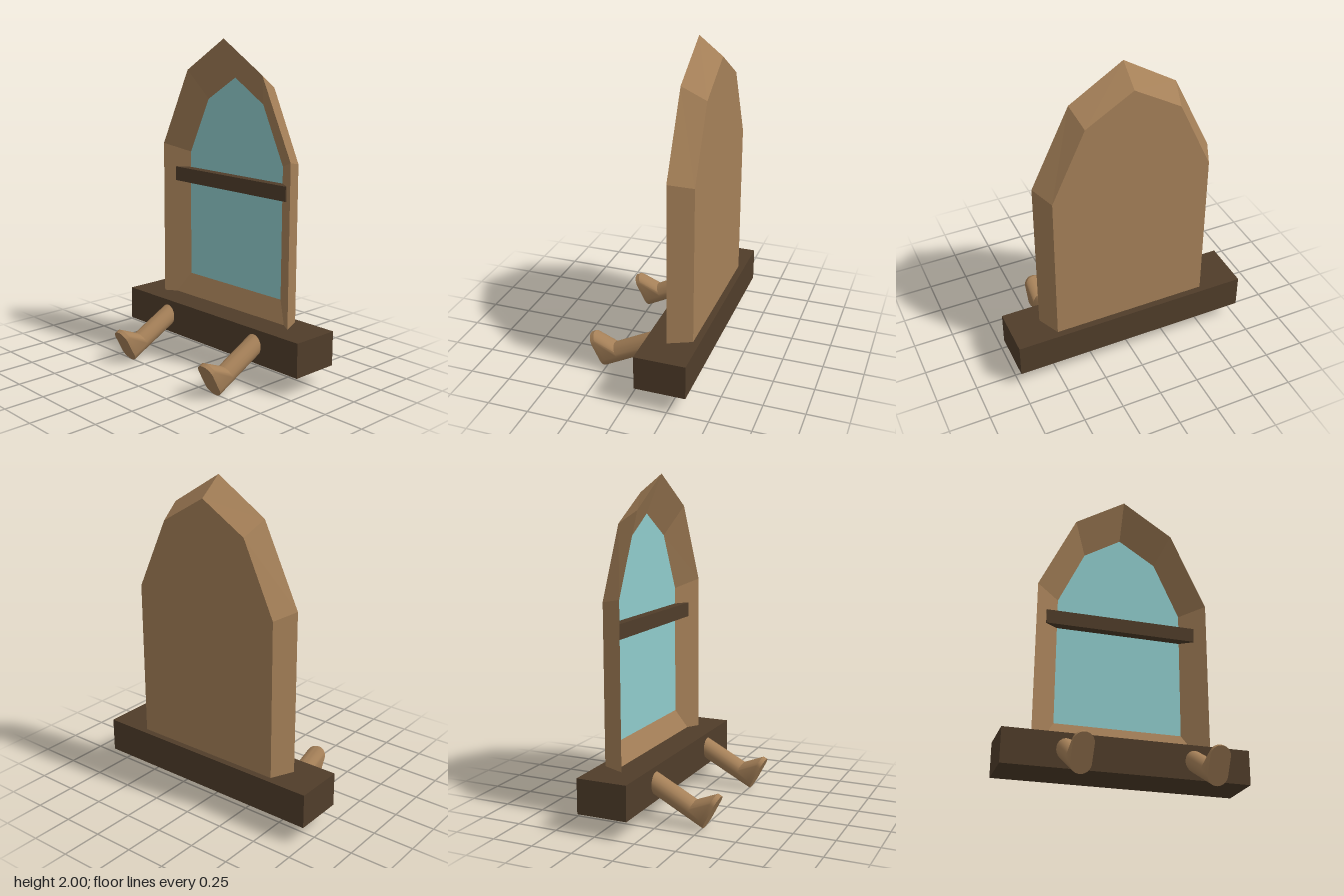
import * as THREE from 'three';
import { toCreasedNormals } from 'three/addons/utils/BufferGeometryUtils.js';

const wood = new THREE.MeshStandardMaterial({ color: 0xa58058 });
const darkWood = new THREE.MeshStandardMaterial({ color: 0x503d2a });
const glass = new THREE.MeshStandardMaterial({ color: 0x8fcccc });

// Skin a list of counter-clockwise rings running towards +z, with capped ends.
function loft(rings, capEnd, crease) {
  const pos = [];
  const tri = (a, b, c) => pos.push(...a, ...b, ...c);
  const n = rings[0].length;
  for (let r = 0; r < rings.length - 1; r++) {
    const a = rings[r], b = rings[r + 1];
    for (let i = 0; i < n; i++) {
      const j = (i + 1) % n;
      tri(a[i], a[j], b[j]);
      tri(a[i], b[j], b[i]);
    }
  }
  const first = rings[0], last = rings[rings.length - 1];
  for (let i = 1; i < n - 1; i++) {
    tri(first[0], first[i + 1], first[i]);
    if (capEnd) tri(last[0], last[i], last[i + 1]);
  }
  const geo = new THREE.BufferGeometry();
  geo.setAttribute('position', new THREE.Float32BufferAttribute(pos, 3));
  geo.computeVertexNormals();
  return crease ? toCreasedNormals(geo, crease) : geo;
}

// Pointed arch outline: right half from the sill to the apex, then mirrored.
function arch(half, z) {
  const left = half.slice(0, -1).reverse().map(([x, y]) => [-x, y]);
  return [...half, ...left].map(([x, y]) => [x, y, z]);
}

export function createModel() {
  const group = new THREE.Group();
  const add = (name, geo, mat, x = 0, y = 0, z = 0) => {
    const mesh = new THREE.Mesh(geo, mat);
    mesh.name = name;
    mesh.position.set(x, y, z);
    group.add(mesh);
    return mesh;
  };

  // Arched frame: narrower back, wide front edge, bevel sloping in to the pane
  const back = arch([[0.485, 0.25], [0.485, 1.29], [0.285, 1.72], [0, 1.89]], -0.32);
  const front = arch([[0.55, 0.21], [0.55, 1.32], [0.32, 1.8], [0, 2]], -0.18);
  const inner = arch([[0.4, 0.46], [0.4, 1.27], [0.235, 1.62], [0, 1.765]], -0.28);
  add('archFrame', loft([back, front, inner], false), wood);

  // Pane
  const paneShape = new THREE.Shape(inner.map(([x, y]) => new THREE.Vector2(x, y)));
  add('pane', new THREE.ShapeGeometry(paneShape), glass, 0, 0, -0.28);

  // Crossbar and base beam
  add('crossbar', new THREE.BoxGeometry(0.96, 0.09, 0.07), darkWood, 0, 1.125, -0.255);
  add('baseBeam', new THREE.BoxGeometry(1.49, 0.21, 0.31), darkWood, 0, 0.225, -0.205);

  // Pegs: round shafts sloping down, with the tip flaring upwards
  const radius = 0.06, sides = 24;
  const pegRing = ([z, lift]) => Array.from({ length: sides }, (_, i) => {
    const a = ((i + 0.5) / sides) * Math.PI * 2;
    const s = Math.sin(a);
    return [radius * Math.cos(a), radius * (1 + s) + (s > 0 ? lift : 0), z];
  });
  const pegGeo = loft([[-0.42, 0], [-0.118, 0], [-0.027, 0.106], [0, 0.106]].map(pegRing), true, 0.5);
  for (const [name, x] of [['leftPeg', 0.4], ['rightPeg', -0.37]]) {
    add(name, pegGeo, wood, x, 0.003, 0.255).rotation.x = 0.48;
  }

  return group;
}
